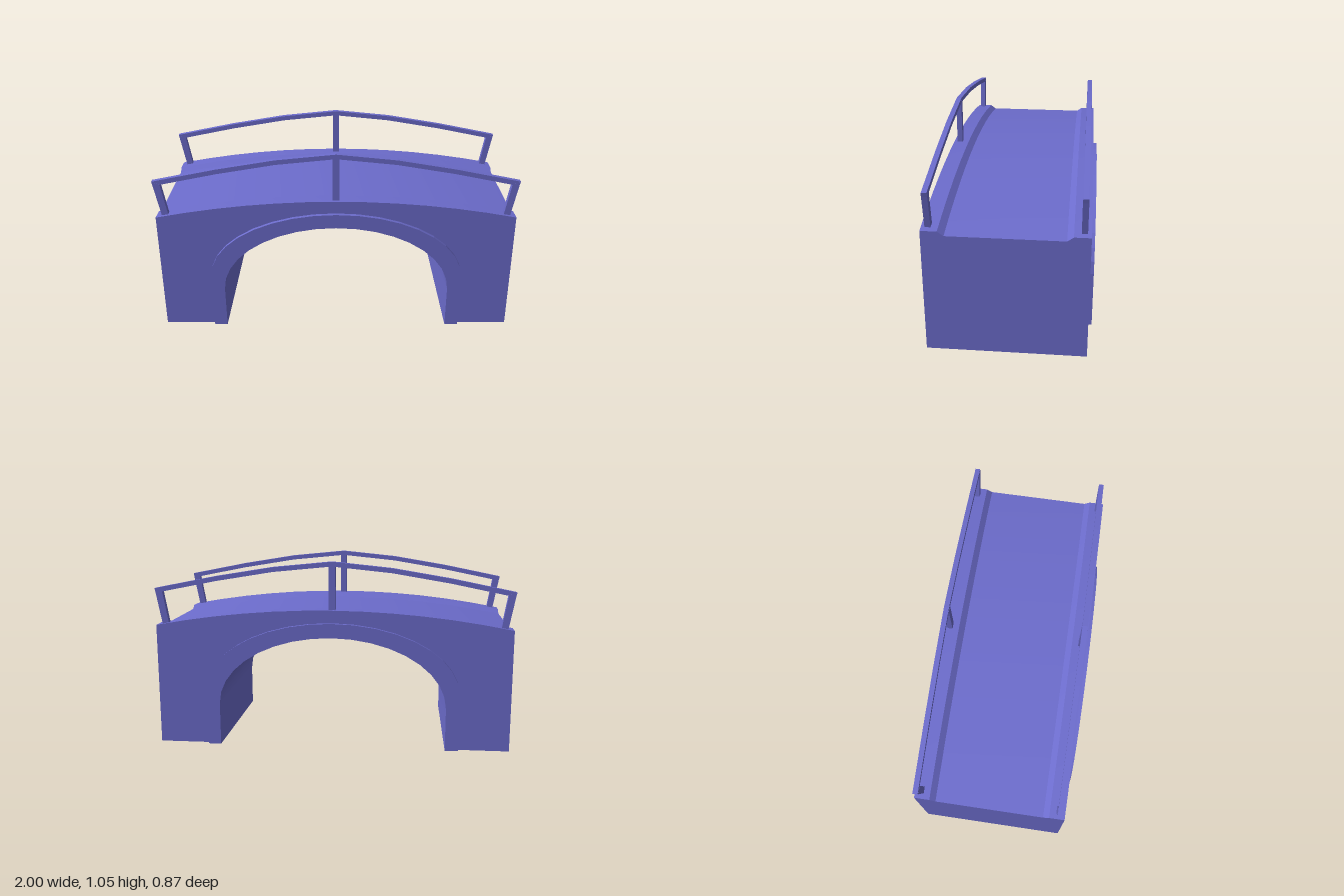
import * as THREE from 'three';

const HALF_X = 0.993, HALF_Z = 0.415, RING_Z = 0.437, RAIL_Z = 0.381;
const SEGMENTS = 12;

const topY = (x) => 0.78 - 0.097 * x * x;

// Points of a stilted elliptical arch, from the left foot to the right foot
function archPoints(rx, spring, ry, n = 18) {
  const pts = [new THREE.Vector2(-rx, 0)];
  for (let i = 0; i <= n; i++) {
    const a = Math.PI * (1 - i / n);
    pts.push(new THREE.Vector2(rx * Math.cos(a), spring + ry * Math.sin(a)));
  }
  pts.push(new THREE.Vector2(rx, 0));
  return pts;
}

// Smooth ribbon between two rows of points
function ribbon(a, b) {
  const pos = [], index = [];
  a.forEach((p, i) => {
    pos.push(...p, ...b[i]);
    if (i) {
      const k = 2 * i - 2;
      index.push(k, k + 1, k + 3, k, k + 3, k + 2);
    }
  });
  const g = new THREE.BufferGeometry();
  g.setAttribute('position', new THREE.Float32BufferAttribute(pos, 3));
  g.setIndex(index);
  g.computeVertexNormals();
  return g;
}

export function createModel() {
  const paint = new THREE.MeshStandardMaterial({ color: 0x6c6ccc, side: THREE.DoubleSide });
  paint.name = 'periwinkle';
  const model = new THREE.Group();
  model.name = 'footbridge';

  const add = (name, geometry, parent = model) => {
    const mesh = new THREE.Mesh(geometry, paint);
    mesh.name = name;
    parent.add(mesh);
    return mesh;
  };

  const xs = Array.from({ length: SEGMENTS + 1 }, (_, i) => HALF_X * (2 * i / SEGMENTS - 1));
  const inner = archPoints(0.637, 0.24, 0.39);
  const outer = archPoints(0.71, 0.32, 0.39);

  // Walkway: flat curbs, sloped curb faces and a sunken deck, as [z, drop]
  const section = [[-HALF_Z, 0], [-0.33, 0], [-0.298, 0.023], [0.298, 0.023], [0.33, 0], [HALF_Z, 0]];
  const names = ['backCurb', 'backCurbSlope', 'deck', 'frontCurbSlope', 'frontCurb'];
  const row = ([z, drop]) => xs.map((x) => [x, topY(x) - drop, z]);
  names.forEach((name, i) => add(name, ribbon(row(section[i]), row(section[i + 1]))));

  // Underside of the arch
  add('archUnderside', ribbon(
    inner.map((p) => [p.x, p.y, HALF_Z]),
    inner.map((p) => [p.x, p.y, -HALF_Z])));

  // Side walls, open at the bottom of the hollow piers
  const wall = new THREE.Shape([
    new THREE.Vector2(-HALF_X, 0), ...inner, new THREE.Vector2(HALF_X, 0),
    ...xs.slice().reverse().map((x) => new THREE.Vector2(x, topY(x))),
  ]);

  // Raised arch trim
  const trim = new THREE.Shape([...outer, ...inner.slice().reverse()]);

  // Railing pieces
  const railPoints = [[-1, 0.89], [-0.65, 0.96], [-0.33, 1.013], [0, 1.046], [0.33, 1.013], [0.65, 0.96], [1, 0.89]];
  const rail = new THREE.Shape([
    ...railPoints.map(([x, y]) => new THREE.Vector2(x, y)),
    ...railPoints.slice().reverse().map(([x, y]) => new THREE.Vector2(x * 0.994, y - 0.026)),
  ]);
  const post = (s) => new THREE.Shape(
    [[0.96, 0.68], [0.925, 0.69], [0.957, 0.875], [0.998, 0.885]].map(([x, y]) => new THREE.Vector2(s * x, y)));
  const bar = (shape, depth) => new THREE.ExtrudeGeometry(shape, { depth, bevelEnabled: false });

  // Front side, turned half round for the back
  for (const side of ['front', 'back']) {
    const group = new THREE.Group();
    group.name = side + 'Side';
    if (side === 'back') group.rotation.y = Math.PI;
    model.add(group);

    add('sideWall', new THREE.ShapeGeometry(wall), group).position.z = HALF_Z;
    add('archTrim', bar(trim, RING_Z - HALF_Z), group).position.z = HALF_Z;

    const railing = new THREE.Group();
    railing.name = 'railing';
    railing.position.z = RAIL_Z;
    group.add(railing);
    add('handrail', bar(rail, 0.028), railing).position.z = -0.014;
    for (const s of [-1, 1]) add('endPost', bar(post(s), 0.03), railing).position.z = -0.015;
    add('middlePost', new THREE.BoxGeometry(0.038, 0.265, 0.03), railing).position.y = 0.9;
  }

  // End walls, following the walkway section
  const endY = topY(HALF_X);
  const end = new THREE.Shape([
    new THREE.Vector2(-HALF_Z, 0), new THREE.Vector2(HALF_Z, 0),
    ...section.slice().reverse().map(([z, drop]) => new THREE.Vector2(z, endY - drop)),
  ]);
  for (const s of [-1, 1]) {
    const mesh = add(s > 0 ? 'leftEndWall' : 'rightEndWall', new THREE.ShapeGeometry(end));
    mesh.rotation.y = s * Math.PI / 2;
    mesh.position.x = s * HALF_X;
  }
  return model;
}
